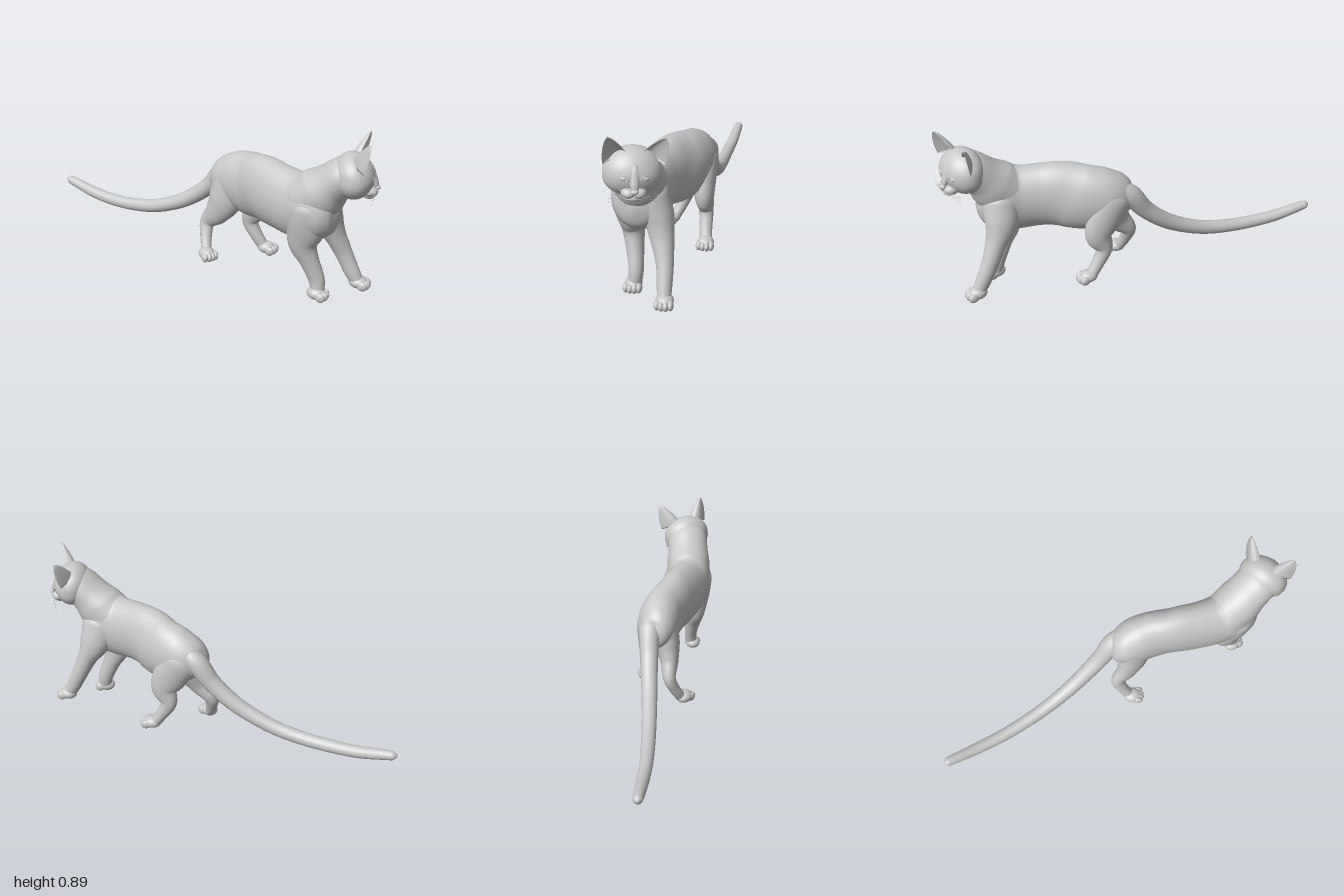
import * as THREE from 'three';

const fur = new THREE.MeshStandardMaterial({ color: 0xc8c8c8 });
fur.name = 'grey fur';

function add(parent, name, geometry) {
  const mesh = new THREE.Mesh(geometry, fur);
  mesh.name = name;
  parent.add(mesh);
  return mesh;
}

// Closed skin over a list of equal-length rings, turned to face outward.
function skin(rings) {
  const n = rings[0].length, pts = rings.flat(), index = [];
  for (let i = 0; i + 1 < rings.length; i++) for (let j = 0; j < n; j++) {
    const a = i * n + j, b = i * n + (j + 1) % n;
    index.push(a, b, a + n, b, b + n, a + n);
  }
  for (const [ring, start, flip] of [[rings[0], 0, true], [rings.at(-1), (rings.length - 1) * n, false]]) {
    const c = pts.length;
    pts.push(ring.reduce((s, p) => s.add(p), new THREE.Vector3()).divideScalar(n));
    for (let j = 0; j < n; j++) {
      const a = start + j, b = start + (j + 1) % n;
      index.push(...(flip ? [b, a, c] : [a, b, c]));
    }
  }
  let volume = 0;
  for (let i = 0; i < index.length; i += 3) {
    const [a, b, c] = [0, 1, 2].map(k => pts[index[i + k]]);
    volume += a.dot(b.clone().cross(c));
  }
  if (volume < 0) index.reverse();
  const g = new THREE.BufferGeometry().setFromPoints(pts);
  g.setIndex(index);
  g.computeVertexNormals();
  return g;
}

// Smooth loft; each station is [x, y, z, sideways radius, other radius].
function loft(stations, steps = 40, sides = 28) {
  const path = new THREE.CatmullRomCurve3(stations.map(s => new THREE.Vector3(s[0], s[1], s[2])));
  const radii = new THREE.CatmullRomCurve3(stations.map(s => new THREE.Vector3(s[3], s[4] ?? s[3], 0)));
  const rings = [];
  for (let i = 0; i <= steps; i++) {
    const p = path.getPoint(i / steps), r = radii.getPoint(i / steps), t = path.getTangent(i / steps);
    const side = new THREE.Vector3(0, 0, 1).addScaledVector(t, -t.z).normalize();
    const up = side.clone().cross(t);
    rings.push(Array.from({ length: sides }, (_, j) => {
      const a = j / sides * Math.PI * 2;
      return p.clone().addScaledVector(side, Math.cos(a) * Math.max(r.x, 0.001))
        .addScaledVector(up, Math.sin(a) * Math.max(r.y, 0.001));
    }));
  }
  return skin(rings);
}

function ball(parent, name, [x, y, z], [rx, ry, rz]) {
  const mesh = add(parent, name, new THREE.SphereGeometry(1, 28, 20).scale(rx, ry, rz));
  mesh.position.set(x, y, z);
  return mesh;
}

function tube(parent, name, points, radius) {
  const curve = new THREE.CatmullRomCurve3(points.map(p => new THREE.Vector3(...p)));
  return add(parent, name, new THREE.TubeGeometry(curve, 12, radius, 6));
}

// Leg with a rounded paw and four toes.
function makeLeg(parent, name, stations, [x, y, z], turn = 0) {
  const leg = new THREE.Group();
  leg.name = name;
  parent.add(leg);
  add(leg, 'limb', loft(stations));
  const paw = new THREE.Group();
  paw.name = 'paw';
  paw.position.set(x, y, z);
  paw.rotation.y = turn;
  leg.add(paw);
  ball(paw, 'pad', [-0.008, 0, 0], [0.05, 0.033, 0.043]);
  for (const k of [-1.5, -0.5, 0.5, 1.5]) {
    ball(paw, 'toe', [0.034 - Math.abs(k) * 0.008, -0.007, k * 0.021], [0.027, 0.025, 0.0155]);
  }
}

// Cupped pointed ear, leaning forward and outward; s is the side.
function earGeometry(s) {
  const rings = [], base = new THREE.Vector3(0.012, 0.07, s * 0.078);
  const tip = new THREE.Vector3(0.066, 0.182, s * 0.127);
  const across = new THREE.Vector3(0.25, -0.38, s).normalize();
  const back = new THREE.Vector3(-1, 0.35, -s * 0.35).normalize();
  for (let i = 0; i <= 14; i++) {
    const t = i / 14, w = 0.056 * Math.pow(1 - t, 0.75) * (1 + 0.35 * t) + 0.003;
    const p = base.clone().lerp(tip, t);
    rings.push(Array.from({ length: 24 }, (_, j) => {
      const a = j / 24 * Math.PI * 2, c = Math.cos(a);
      return p.clone().addScaledVector(across, w * c)
        .addScaledVector(back, w * 0.75 * (1 - c * c) - w * 0.3 + 0.005 * Math.sin(a));
    }));
  }
  return skin(rings);
}

function makeHead() {
  const head = new THREE.Group();
  head.name = 'head';
  head.position.set(0.885, 0.695, 0.1);
  head.rotation.set(-0.08, 0.3, 0, 'YXZ');

  // Skull: broad cheeks, flatter crown
  const g = new THREE.SphereGeometry(1, 40, 30), pos = g.attributes.position;
  for (let i = 0; i < pos.count; i++) {
    const x = pos.getX(i), y = pos.getY(i), z = pos.getZ(i);
    pos.setXYZ(i, x * 0.1 - Math.max(0, y) * 0.012, y * 0.113, z * 0.132 * (1 + 0.12 * Math.max(0, -y)));
  }
  g.computeVertexNormals();
  add(head, 'skull', g);

  // Muzzle, nose and mouth
  add(head, 'bridge', loft([[0.07, 0.06, 0, 0.012, 0.012], [0.082, 0.02, 0, 0.022, 0.018],
    [0.1, -0.025, 0, 0.02, 0.016], [0.111, -0.055, 0, 0.014, 0.01]], 20, 18));
  ball(head, 'nose', [0.114, -0.052, 0], [0.013, 0.012, 0.018]);
  ball(head, 'chin', [0.075, -0.09, 0], [0.034, 0.022, 0.036]);
  for (const s of [-1, 1]) {
    ball(head, 'muzzle', [0.077, -0.068, s * 0.023], [0.04, 0.026, 0.034]);
    tube(head, 'mouth', [[0.113, -0.08, 0], [0.108, -0.09, s * 0.02], [0.088, -0.088, s * 0.047]], 0.002);

    // Eye with a raised lid
    ball(head, 'eye', [0.082, -0.001, s * 0.046], [0.014, 0.015, 0.02]);
    const lid = add(head, 'eyelid', new THREE.TorusGeometry(0.019, 0.004, 8, 28).scale(1, 0.8, 1));
    lid.position.set(0.089, -0.001, s * 0.047);
    lid.rotation.y = Math.PI / 2 - s * 0.4;

    for (let k = 0; k < 3; k++) {
      tube(head, 'whisker', [[0.1, -0.066 - k * 0.008, s * 0.035], [0.1, -0.066 - k * 0.012, s * 0.07],
        [0.085, -0.075 - k * 0.02, s * 0.11]], 0.0009);
    }
    add(head, 'ear', earGeometry(s));
  }
  return head;
}

export function createModel() {
  const cat = new THREE.Group();
  cat.name = 'cat';

  add(cat, 'body', loft([
    [0.05, 0.455, -0.125, 0.02, 0.03], [0.07, 0.455, -0.115, 0.07, 0.08], [0.12, 0.46, -0.1, 0.1, 0.125],
    [0.2, 0.465, -0.085, 0.115, 0.16], [0.3, 0.47, -0.05, 0.112, 0.178], [0.4, 0.485, 0.005, 0.11, 0.18],
    [0.5, 0.483, 0.052, 0.112, 0.174], [0.6, 0.477, 0.085, 0.12, 0.174], [0.69, 0.485, 0.103, 0.132, 0.178],
    [0.76, 0.475, 0.105, 0.122, 0.15], [0.805, 0.47, 0.105, 0.085, 0.1], [0.825, 0.47, 0.105, 0.015, 0.02],
  ], 70, 40));

  add(cat, 'neck', loft([
    [0.58, 0.47, 0.09, 0.08, 0.09], [0.65, 0.52, 0.1, 0.12, 0.13], [0.72, 0.57, 0.104, 0.124, 0.132],
    [0.785, 0.635, 0.105, 0.116, 0.105], [0.85, 0.695, 0.105, 0.112, 0.092], [0.9, 0.72, 0.1, 0.07, 0.06],
  ], 40, 36));

  add(cat, 'tail', loft([
    [0.16, 0.53, -0.13, 0.04], [0.08, 0.47, -0.142, 0.056], [0, 0.37, -0.146, 0.048], [-0.1, 0.285, -0.15, 0.044],
    [-0.2, 0.225, -0.152, 0.041], [-0.35, 0.165, -0.158, 0.038], [-0.5, 0.138, -0.167, 0.036],
    [-0.65, 0.131, -0.18, 0.034], [-0.8, 0.142, -0.2, 0.032], [-0.92, 0.166, -0.216, 0.028],
    [-0.98, 0.178, -0.224, 0.024], [-1, 0.181, -0.226, 0.008],
  ], 70, 20));

  makeLeg(cat, 'leftFrontLeg', [
    [0.69, 0.6, 0.145, 0.03], [0.69, 0.5, 0.152, 0.088, 0.1], [0.675, 0.4, 0.15, 0.077, 0.1],
    [0.66, 0.3, 0.145, 0.056, 0.076], [0.697, 0.2, 0.132, 0.043, 0.05], [0.735, 0.1, 0.122, 0.036, 0.042],
    [0.745, 0.03, 0.128, 0.033],
  ], [0.75, 0.034, 0.135]);

  makeLeg(cat, 'rightFrontLeg', [
    [0.7, 0.6, 0.07, 0.03], [0.71, 0.5, 0.05, 0.085, 0.1], [0.73, 0.4, 0.012, 0.074, 0.088],
    [0.775, 0.3, -0.012, 0.056, 0.055], [0.82, 0.2, -0.03, 0.042, 0.045], [0.87, 0.1, -0.035, 0.036, 0.04],
    [0.9, 0.05, -0.037, 0.032],
  ], [0.91, 0.052, -0.04]);

  makeLeg(cat, 'leftHindLeg', [
    [0.14, 0.56, -0.08, 0.03], [0.16, 0.46, -0.06, 0.075, 0.1], [0.145, 0.36, -0.045, 0.07, 0.095],
    [0.1, 0.275, -0.035, 0.05, 0.07], [0.04, 0.2, -0.038, 0.035, 0.042], [0.045, 0.13, -0.01, 0.03, 0.032],
    [0.068, 0.06, 0.028, 0.028],
  ], [0.085, 0.058, 0.05], -0.6);

  makeLeg(cat, 'rightHindLeg', [
    [0.15, 0.56, -0.12, 0.03], [0.18, 0.46, -0.135, 0.073, 0.1], [0.23, 0.37, -0.142, 0.064, 0.095],
    [0.265, 0.285, -0.15, 0.05, 0.075], [0.24, 0.2, -0.157, 0.038, 0.045], [0.28, 0.12, -0.16, 0.034, 0.034],
    [0.32, 0.06, -0.165, 0.03],
  ], [0.345, 0.06, -0.165]);

  cat.add(makeHead());
  return cat;
}
